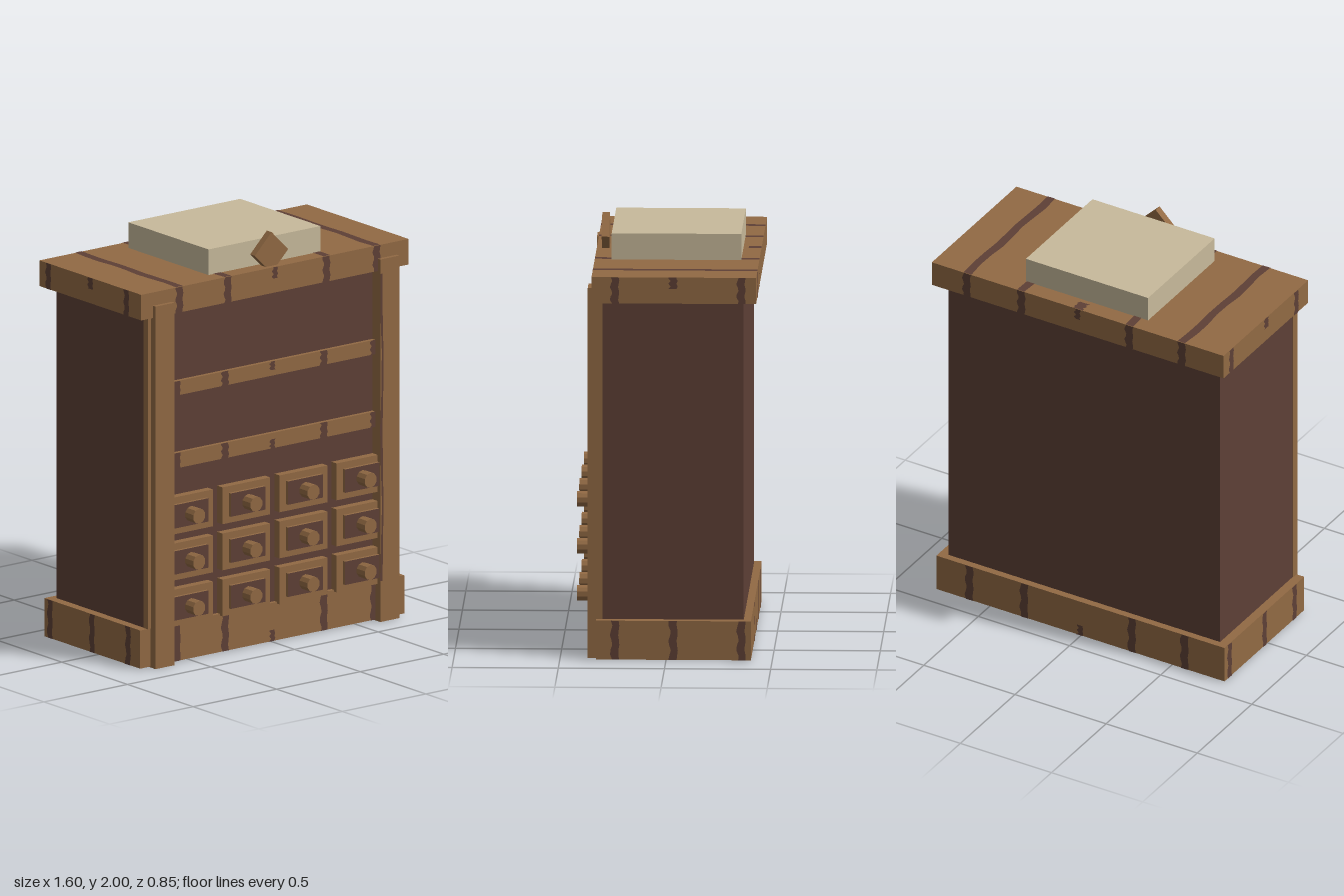
import * as THREE from 'three';

const wood = new THREE.MeshStandardMaterial({ color: 0x926a44 });
wood.name = 'lightWood';
const dark = new THREE.MeshStandardMaterial({ color: 0x5e4036 });
dark.name = 'darkWood';
const cream = new THREE.MeshStandardMaterial({ color: 0xc8ba9b });
cream.name = 'cream';

export function createModel() {
  const model = new THREE.Group();
  model.name = 'cabinet';

  const add = (name, geometry, material) => {
    const mesh = new THREE.Mesh(geometry, material);
    mesh.name = name;
    model.add(mesh);
    return mesh;
  };

  // Box given by its low and high limits on each axis
  const box = (name, material, x0, x1, y0, y1, z0, z1) => {
    const mesh = add(name, new THREE.BoxGeometry(x1 - x0, y1 - y0, z1 - z0), material);
    mesh.position.set((x0 + x1) / 2, (y0 + y1) / 2, (z0 + z1) / 2);
    return mesh;
  };

  // Wavy grain mark, drawn upright about its own centre in the xy plane
  const grain = (name, width, height, seed) => {
    const steps = 8;
    const left = [];
    const right = [];
    for (let i = 0; i <= steps; i++) {
      const y = (i / steps - 0.5) * height;
      const wave = 0.006 * Math.sin(i * 1.7 + seed * 2.3);
      left.push(new THREE.Vector2(-width / 2 + wave, y));
      right.push(new THREE.Vector2(width / 2 + wave * 0.5, y));
    }
    const shape = new THREE.Shape([...right, ...left.reverse()]);
    return add(name, new THREE.ShapeGeometry(shape), dark);
  };

  const grainX = [-0.572, -0.283, 0, 0.308, 0.608];
  const lift = 0.002;

  // Marks along a front or back face; the middle one is short
  const grainRow = (name, y0, y1, z, back, limit = 1, shortFromTop = true) => {
    grainX.filter((x) => Math.abs(x) < limit).forEach((x, i) => {
      const h = x === 0 ? Math.min(0.055, (y1 - y0) * 0.6) : y1 - y0;
      const mark = grain(name, x === 0 ? 0.028 : 0.04, h, i + y0);
      const y = x === 0 ? (shortFromTop ? y1 - h / 2 : y0 + h / 2) : (y0 + y1) / 2;
      mark.position.set(x, y, z + (back ? -lift : lift));
      if (back) mark.rotation.y = Math.PI;
    });
  };

  // Marks on both end faces
  const grainEnds = (name, y0, y1, x) => {
    for (const side of [-1, 1]) {
      [0.24, -0.035, -0.355].forEach((z, i) => {
        const h = i === 1 && y0 > 1 ? 0.055 : y1 - y0;
        const mark = grain(name, 0.036, h, i + side);
        mark.position.set(side * (x + lift), y1 - h / 2, z);
        mark.rotation.y = side * Math.PI / 2;
      });
    }
  };

  // Carcass, plinth and top slab
  box('carcass', dark, -0.745, 0.745, 0, 1.75, -0.365, 0.31);
  box('plinth', wood, -0.79, 0.79, 0.004, 0.19, -0.4, 0.33);
  grainRow('plinthGrain', 0.004, 0.19, 0.33, false, 1, false);
  grainRow('plinthGrain', 0.004, 0.19, -0.4, true, 1, false);
  grainEnds('plinthGrain', 0.004, 0.19, 0.79);
  const bottom = add('bottomPanel', new THREE.PlaneGeometry(1.49, 0.665), dark);
  bottom.rotation.x = Math.PI / 2;
  bottom.position.set(0, 0, -0.03);

  box('topSlab', wood, -0.8, 0.8, 1.71, 1.835, -0.425, 0.35);
  grainRow('topSlabGrain', 1.71, 1.835, 0.35, false);
  grainRow('topSlabGrain', 1.71, 1.835, -0.425, true);
  grainEnds('topSlabGrain', 1.71, 1.835, 0.8);

  // Long marks across the top, with a short one at the back
  grainX.forEach((x, i) => {
    const length = x === 0 ? 0.06 : 0.775;
    const mark = grain('topGrain', x === 0 ? 0.05 : 0.042, length, i);
    mark.rotation.x = -Math.PI / 2;
    mark.position.set(x, 1.835 + lift, -0.425 + length / 2);
  });

  // Front posts, each on a slightly wider stile
  for (const s of [-1, 1]) {
    const span = (a, b) => (s > 0 ? [a, b] : [-b, -a]);
    box('stile', wood, ...span(0.63, 0.748), 0.19, 1.71, 0.3, 0.335);
    box('post', wood, ...span(0.615, 0.73), 0, 1.77, 0.3, 0.37);
  }
  const postGrain = grain('postGrain', 0.012, 1.5, 2);
  postGrain.position.set(0.624, 0.95, 0.37 + lift);

  // Shelf edges
  for (const [y0, y1] of [[1.3, 1.37], [0.945, 1.02]]) {
    box('shelf', wood, -0.62, 0.62, y0, y1, 0.29, 0.33);
    grainRow('shelfGrain', y0, y1, 0.33, false, 0.7, y0 > 1);
  }

  // Drawers: frame, raised dark panel with light edges, and round knob
  const panelMaterials = [wood, wood, wood, wood, dark, wood];
  for (const y of [0.722, 0.497, 0.272]) {
    for (const x of [-0.513, -0.171, 0.171, 0.513]) {
      box('drawerFrame', wood, x - 0.143, x + 0.143, y - 0.09, y + 0.09, 0.29, 0.35);
      box('drawerPanel', panelMaterials,
        x - 0.104, x + 0.104, y - 0.057, y + 0.057, 0.34, 0.365);
      const knobGeometry = new THREE.CylinderGeometry(0.037, 0.037, 0.07, 10).toNonIndexed();
      knobGeometry.computeVertexNormals();
      const knob = add('drawerKnob', knobGeometry, wood);
      knob.rotation.x = Math.PI / 2;
      knob.position.set(x, y, 0.392);
    }
  }

  // Block on top and the diamond ornament before it
  box('topBlock', cream, -0.335, 0.335, 1.83, 1.96, -0.34, 0.27);
  const diamond = add('diamondOrnament', new THREE.BoxGeometry(0.141, 0.141, 0.036), wood);
  diamond.rotation.z = Math.PI / 4;
  diamond.position.set(0, 1.9, 0.307);

  return model;
}
